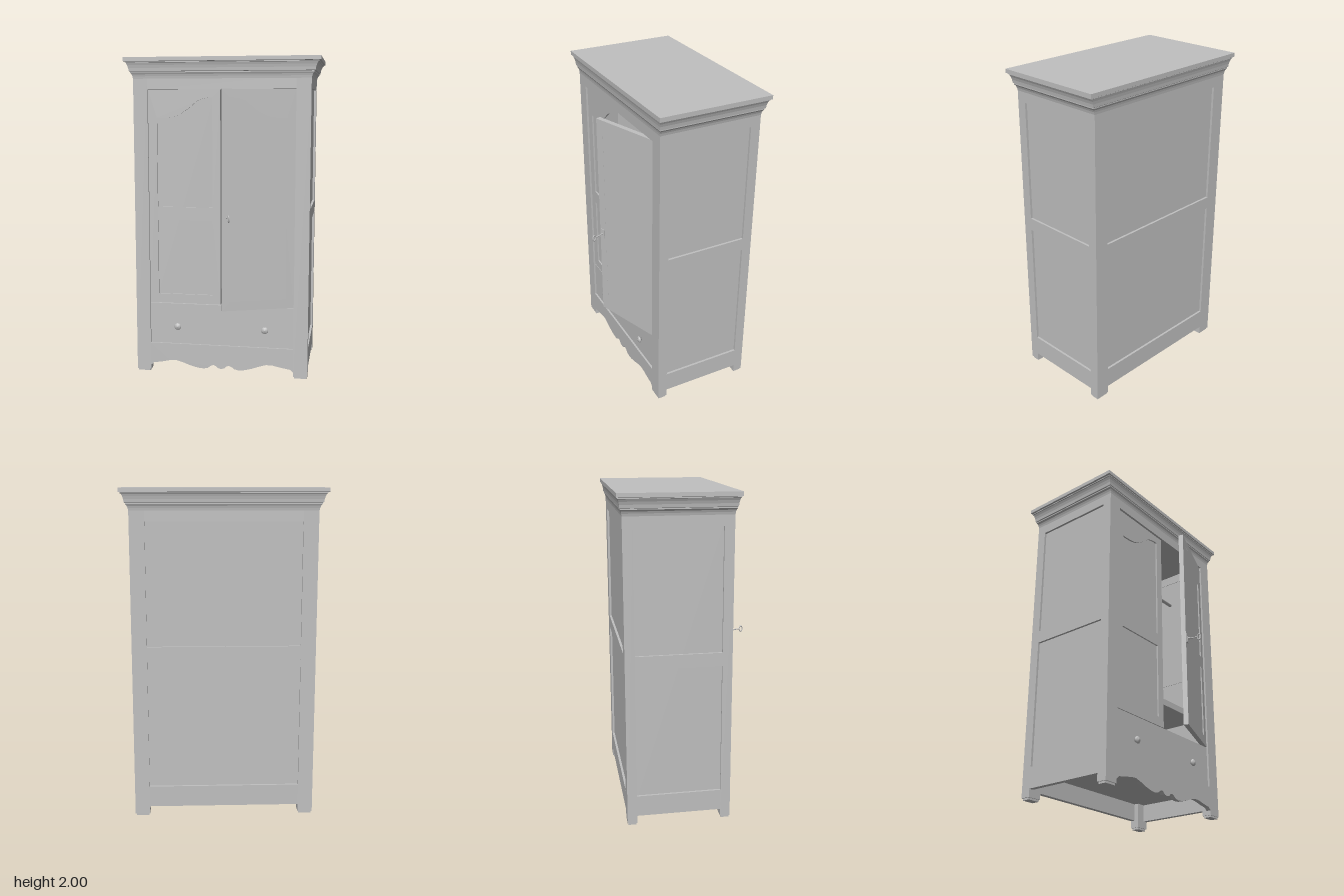
import * as THREE from 'three';

const wood = new THREE.MeshStandardMaterial({ color: 0xc0c0c0 });
wood.name = 'greyWood';

// Carcass limits
const W = 0.55, FRONT = 0.225, BACK = -0.41, MID = (FRONT + BACK) / 2;
const POST_X = 0.09, POST_Z = 0.06, INSET = 0.213;
const FRAME_TOP = 1.885;

function add(parent, name, geometry, x = 0, y = 0, z = 0) {
  const mesh = new THREE.Mesh(geometry, wood);
  mesh.name = name;
  mesh.position.set(x, y, z);
  parent.add(mesh);
  return mesh;
}

// Box given by its limits on each axis
function block(parent, name, x0, x1, y0, y1, z0, z1) {
  return add(parent, name, new THREE.BoxGeometry(x1 - x0, y1 - y0, z1 - z0),
    (x0 + x1) / 2, (y0 + y1) / 2, (z0 + z1) / 2);
}

function extrude(shape, depth) {
  return new THREE.ExtrudeGeometry(shape, { depth, bevelEnabled: false, curveSegments: 14 });
}

// Stepped and coved crown: a four-sided lathe stretched to the carcass plan
function cornice() {
  const profile = [
    [0, 1.87], [1.0, 1.87], [1.006, 1.885], [1.015, 1.897], [1.03, 1.907], [1.03, 1.913],
    [1.042, 1.916], [1.047, 1.935], [1.057, 1.952], [1.07, 1.966], [1.08, 1.968],
    [1.08, 1.973], [1.1, 1.976], [1.1, 2.0], [0, 2.0],
  ].map(([s, y]) => new THREE.Vector2(s * Math.SQRT2, y));
  const lathe = new THREE.LatheGeometry(profile, 4, Math.PI / 4);
  lathe.scale(W, 1, (FRONT - BACK) / 2);
  const flat = lathe.toNonIndexed();
  flat.computeVertexNormals();
  return flat;
}

// Front rail with a scalloped lower edge, mirrored about the middle
function apron() {
  const half = [[0.46, 0.04], [0.44, 0.057], [0.385, 0.066], [0.33, 0.078], [0.29, 0.079],
    [0.25, 0.068], [0.2, 0.05], [0.15, 0.037], [0.11, 0.034], [0.085, 0.04],
    [0.068, 0.053], [0.05, 0.06], [0.035, 0.055], [0.022, 0.042], [0, 0.036]];
  const right = half.map(([x, y]) => new THREE.Vector2(x, y));
  const left = half.slice(0, -1).reverse().map(([x, y]) => new THREE.Vector2(-x, y));
  return extrude(new THREE.Shape([
    ...right, ...left, new THREE.Vector2(-0.46, 0.19), new THREE.Vector2(0.46, 0.19),
  ]), 0.03);
}

// Door hung from its local origin; side is -1 or 1, front face at z = 0
function door(name, side) {
  const group = new THREE.Group();
  group.name = name;
  const w = 0.455, y0 = 0.456, y1 = 1.804, a = 0.055, b = 0.405;
  const X = (u) => -side * u;

  const frame = new THREE.Shape();
  frame.moveTo(0, y0).lineTo(X(w), y0).lineTo(X(w), y1).lineTo(0, y1).closePath();
  const lower = new THREE.Path();
  lower.moveTo(X(a), 0.515).lineTo(X(b), 0.515).lineTo(X(b), 0.99).lineTo(X(a), 0.99).closePath();
  const upper = new THREE.Path();
  upper.moveTo(X(a), 1.075).lineTo(X(b), 1.075).lineTo(X(b), 1.755);
  upper.bezierCurveTo(X(0.3), 1.755, X(0.3), 1.715, X(0.235), 1.675);
  upper.bezierCurveTo(X(0.18), 1.635, X(0.13), 1.63, X(a), 1.63);
  upper.closePath();
  frame.holes.push(lower, upper);
  add(group, 'doorFrame', extrude(frame, 0.03), 0, 0, -0.03);

  // Sunken panel behind both openings
  const p0 = Math.min(X(a - 0.01), X(b + 0.01)), p1 = Math.max(X(a - 0.01), X(b + 0.01));
  block(group, 'doorPanel', p0, p1, 0.5, 1.77, -0.022, -0.01);

  group.position.set(side * 0.46, 0, INSET);
  return group;
}

// Lock plate with a key standing out of it
function lock() {
  const group = new THREE.Group();
  group.name = 'lock';
  block(group, 'lockPlate', -0.014, 0.014, -0.03, 0.03, 0, 0.006);
  add(group, 'keyShaft', new THREE.CylinderGeometry(0.004, 0.004, 0.065, 10), 0, 0, 0.036)
    .rotation.x = Math.PI / 2;
  add(group, 'keyCollar', new THREE.CylinderGeometry(0.007, 0.007, 0.006, 12), 0, 0, 0.014)
    .rotation.x = Math.PI / 2;
  const bow = add(group, 'keyBow', new THREE.TorusGeometry(0.016, 0.004, 8, 20), 0, 0, 0.078);
  bow.rotation.y = Math.PI / 2;
  bow.scale.set(0.7, 1.15, 1);
  return group;
}

export function createModel() {
  const model = new THREE.Group();
  model.name = 'wardrobe';
  const inX = W - POST_X, inF = FRONT - POST_Z, inB = BACK + POST_Z;

  // Corner posts and feet
  for (const s of [-1, 1]) {
    const [x0, x1] = s > 0 ? [inX, W] : [-W, -inX];
    for (const [z0, z1] of [[inF, FRONT], [BACK, inB]]) {
      block(model, 'cornerPost', x0, x1, 0.012, FRAME_TOP, z0, z1);
      block(model, 'foot', x0 + 0.006, x1 - 0.006, 0, 0.014, z0 + 0.006, z1 - 0.006);
    }
  }

  // Rails and sunken panels on the sides and back
  const rails = [[0.06, 0.19], [0.99, 1.07], [1.808, FRAME_TOP]];
  for (const [y0, y1] of rails) {
    block(model, 'sideRail', W - 0.03, W, y0, y1, inB, inF);
    block(model, 'sideRail', -W, -W + 0.03, y0, y1, inB, inF);
    block(model, 'backRail', -inX, inX, y0, y1, BACK, BACK + 0.03);
  }
  block(model, 'sidePanel', W - 0.027, W - 0.014, 0.17, 1.83, inB, inF);
  block(model, 'sidePanel', -W + 0.014, -W + 0.027, 0.17, 1.83, inB, inF);
  block(model, 'backPanel', -inX, inX, 0.17, 1.83, BACK + 0.014, BACK + 0.027);

  // Front rails
  block(model, 'topRail', -inX, inX, 1.806, FRAME_TOP, FRONT - 0.03, FRONT);
  add(model, 'apron', apron(), 0, 0, FRONT - 0.03);

  // Inside: base, drawer divider, shelf and hanging rail
  const inside = (name, y0, y1, z1) =>
    block(model, name, -W + 0.03, W - 0.03, y0, y1, BACK + 0.03, z1);
  inside('base', 0.17, 0.188, inF);
  inside('divider', 0.43, 0.452, inF);
  inside('shelf', 0.67, 0.71, 0.12);
  add(model, 'hangingRail', new THREE.CylinderGeometry(0.013, 0.013, 1.04, 16), 0, 1.63, MID)
    .rotation.z = Math.PI / 2;

  // Drawer front with round knobs
  block(model, 'drawerFront', -inX, inX, 0.19, 0.452, INSET - 0.03, INSET);
  const knob = [[0, 0], [0.012, 0], [0.012, 0.007], [0.021, 0.011], [0.022, 0.016], [0.016, 0.022], [0, 0.026]]
    .map(([r, h]) => new THREE.Vector2(r, h));
  for (const x of [-0.28, 0.28]) {
    add(model, 'drawerKnob', new THREE.LatheGeometry(knob, 20), x, 0.305, INSET).rotation.x = Math.PI / 2;
  }

  // One door shut, the other ajar with the key in it
  model.add(door('rightDoor', -1));
  const ajar = door('leftDoor', 1);
  ajar.rotation.y = THREE.MathUtils.degToRad(20);
  const keyed = lock();
  keyed.position.set(-0.43, 1.038, 0);
  ajar.add(keyed);
  model.add(ajar);

  add(model, 'cornice', cornice(), 0, 0, MID);
  return model;
}
